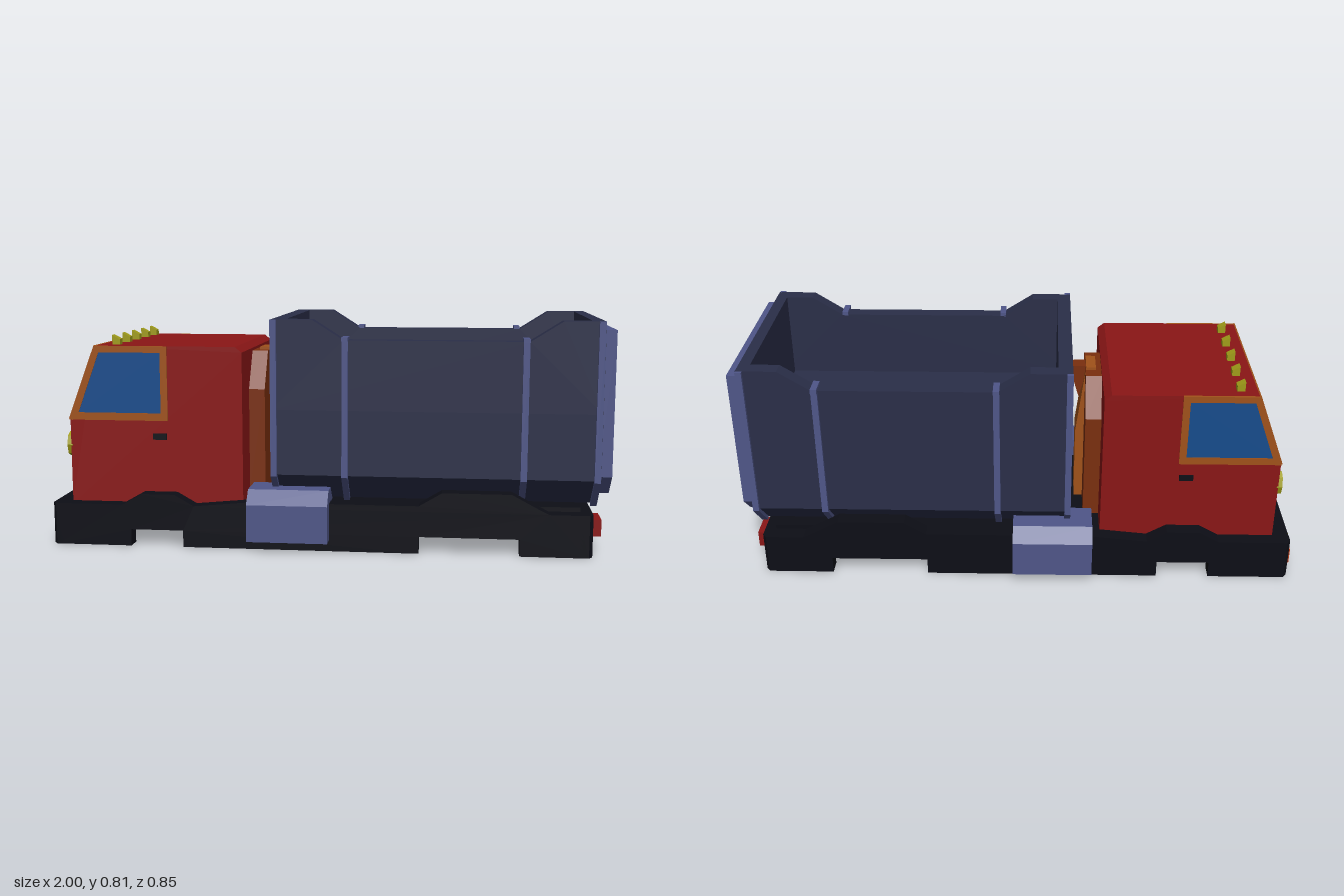
import * as THREE from 'three';

const mat = (color) => new THREE.MeshStandardMaterial({ color, flatShading: true });
const M = {
  red: mat(0x8a1616), blue: mat(0x4f5688), slate: mat(0x2a2e48), black: mat(0x0d0e16),
  orange: mat(0xa0521a), brown: mat(0x7a2f0e), glass: mat(0x164c8c), yellow: mat(0xa09c18),
  amber: mat(0xb03a18), grey: mat(0xcccccc),
};

const toShape = (pts) => new THREE.Shape(pts.map(([a, b]) => new THREE.Vector2(a, b)));

function extrude(pts, depth, hole) {
  const shape = toShape(pts);
  if (hole) shape.holes.push(toShape(hole));
  return new THREE.ExtrudeGeometry(shape, { depth, bevelEnabled: false });
}

// Side profile (x, y) swept from z0 to z1
const sweepZ = (pts, z0, z1, hole) => extrude(pts, z1 - z0, hole).translate(0, 0, z0);

// Cross-section (z, y) swept from x0 to x1
const flip = (pts) => pts && pts.map(([z, y]) => [-z, y]);
const sweepX = (pts, x0, x1, hole) =>
  extrude(flip(pts), x1 - x0, flip(hole)).rotateY(Math.PI / 2).translate(x0, 0, 0);

// Box given by its limits
const box = (x0, x1, y0, y1, z0, z1) =>
  new THREE.BoxGeometry(x1 - x0, y1 - y0, z1 - z0)
    .translate((x0 + x1) / 2, (y0 + y1) / 2, (z0 + z1) / 2);

// Half outline (z, y) completed by its mirror image
const mirrored = (half) => [...half, ...half.map(([z, y]) => [-z, y]).reverse()];

export function createModel() {
  const root = new THREE.Group();
  const group = (name) => {
    const g = new THREE.Group();
    g.name = name;
    root.add(g);
    return g;
  };
  const add = (parent, name, geometry, material) => {
    const m = new THREE.Mesh(geometry, material);
    m.name = name;
    parent.add(m);
  };

  // Chassis: hollow below, with wheel cutouts and fender humps on the sides
  const chassis = group('chassis');
  const skirt = [
    [-0.96, 0], [-0.69, 0], [-0.69, 0.06], [-0.5, 0.06], [-0.5, 0], [0.34, 0], [0.34, 0.06],
    [0.69, 0.06], [0.69, 0], [0.92, 0], [0.92, 0.15], [0.79, 0.15], [0.74, 0.175], [0.66, 0.218],
    [0.42, 0.218], [0.34, 0.17], [-0.25, 0.17], [-0.46, 0.15], [-0.53, 0.19], [-0.65, 0.19],
    [-0.72, 0.15], [-0.96, 0.15],
  ];
  add(chassis, 'leftSkirt', sweepZ(skirt, 0.31, 0.367), M.black);
  add(chassis, 'rightSkirt', sweepZ(skirt, -0.367, -0.31), M.black);
  add(chassis, 'deck', box(-0.95, 0.92, 0.08, 0.15, -0.32, 0.32), M.black);
  add(chassis, 'subframe', box(-0.2, 0.9, 0.14, 0.166, -0.31, 0.31), M.black);
  add(chassis, 'rearCrossbar', box(0.79, 0.81, 0.07, 0.085, -0.29, 0.29), M.slate);
  for (const [name, inner, outer] of [['frontBumper', -0.93, -0.98], ['rearBumper', 0.89, 0.94]]) {
    const bevel = outer - Math.sign(outer) * 0.013;
    const plan = [[inner, -0.367], [bevel, -0.367], [outer, -0.35],
      [outer, 0.35], [bevel, 0.367], [inner, 0.367]];
    add(chassis, name, extrude(plan, 0.15).rotateX(-Math.PI / 2), M.black);
  }
  add(chassis, 'numberPlate', box(-0.986, -0.975, 0.05, 0.11, -0.08, 0.08), M.grey);

  // Side tanks with a chamfered upper edge
  const tank = [[0.255, 0.04], [0.425, 0.04], [0.425, 0.172], [0.38, 0.22], [0.255, 0.22]];
  const tanks = group('sideTanks');
  add(tanks, 'leftTank', sweepX(tank, -0.26, 0.025), M.blue);
  add(tanks, 'rightTank', sweepX(flip(tank), -0.26, 0.025), M.blue);

  // Cab: full profile at the sides, wedge-shaped grille recess in the middle
  const cab = group('cab');
  const profile = [[-0.92, 0.14], [-0.29, 0.14], [-0.29, 0.695], [-0.315, 0.715],
    [-0.82, 0.715], [-0.92, 0.45]];
  const recess = [[-0.92, 0.41], [-0.85, 0.19], [-0.92, 0.19]];
  add(cab, 'cabCentre', sweepZ([...profile, ...recess], -0.25, 0.25), M.red);
  add(cab, 'cabLeftSide', sweepZ(profile, 0.25, 0.315), M.red);
  add(cab, 'cabRightSide', sweepZ(profile, -0.315, -0.25), M.red);
  add(cab, 'grille', sweepZ([[-0.92, 0.405], [-0.854, 0.191], [-0.845, 0.191], [-0.91, 0.405]],
    -0.249, 0.249), M.black);

  // Windscreen, leaning back along the front slope
  const lean = Math.atan2(0.1, 0.265);
  const length = Math.hypot(0.1, 0.265);
  const screen = new THREE.Group();
  screen.name = 'windscreen';
  screen.position.set(-0.92, 0.45, 0);
  screen.rotation.z = -lean;
  cab.add(screen);
  const pane = mirrored([[0.285, 0.03], [0.285, length - 0.03]]);
  add(screen, 'windscreenFrame',
    sweepX(mirrored([[0.319, 0], [0.319, length]]), -0.005, 0.01, pane), M.orange);
  add(screen, 'windscreenGlass', sweepX(pane, -0.002, 0.005), M.glass);

  // Side windows, door handles and lamps
  const frame = [[-0.922, 0.448], [-0.56, 0.448], [-0.56, 0.715], [-0.82, 0.715]];
  const sidePane = [[-0.888, 0.475], [-0.585, 0.475], [-0.585, 0.692], [-0.808, 0.692]];
  for (const s of [1, -1]) {
    const side = s > 0 ? 'left' : 'right';
    const slab = (pts, out, hole) =>
      sweepZ(pts, Math.min(s * 0.31, s * out), Math.max(s * 0.31, s * out), hole);
    add(cab, side + 'WindowFrame', slab(frame, 0.319, sidePane), M.orange);
    add(cab, side + 'WindowGlass', slab(sidePane, 0.317), M.glass);
    add(cab, side + 'DoorHandle',
      box(-0.615, -0.565, 0.38, 0.402, s * 0.315 - 0.006, s * 0.315 + 0.006), M.black);

    const lamp = new THREE.CylinderGeometry(0.036, 0.036, 0.02, 8).rotateZ(Math.PI / 2)
      .scale(1, 1.25, 1).translate(-0.925, 0.355, s * 0.28);
    add(cab, side + 'Headlight', lamp, M.yellow);
    const pod = (name, x0, x1, y0, y1, za, zb, m) => add(chassis, side + name,
      box(x0, x1, y0, y1, Math.min(s * za, s * zb), Math.max(s * za, s * zb)), m);
    pod('FogLight', -0.986, -0.97, 0.07, 0.135, 0.2, 0.28, M.yellow);
    pod('Indicator', -1, -0.97, 0.01, 0.068, 0.185, 0.29, M.amber);
    pod('TailLight', 0.93, 0.975, 0.06, 0.12, 0.187, 0.292, M.red);
  }

  // Roof marker lamps
  for (let i = 0; i < 5; i++) {
    const z = -0.26 + i * 0.125;
    add(cab, 'roofLamp', sweepZ([[-0.775, 0.71], [-0.747, 0.71], [-0.747, 0.735], [-0.775, 0.75]],
      z - 0.016, z + 0.016), M.yellow);
  }

  // Engine housing and intake behind the cab
  const intake = group('rearIntake');
  add(intake, 'housing',
    sweepX(mirrored([[0.18, 0.15], [0.18, 0.55], [0.1, 0.685]]), -0.295, -0.232), M.brown);
  add(intake, 'spine', sweepZ([[-0.27, 0.15], [-0.2, 0.15], [-0.2, 0.43], [-0.235, 0.695],
    [-0.27, 0.695]], -0.05, 0.05), M.orange);
  add(intake, 'snorkel', sweepZ([[-0.24, 0.68], [-0.21, 0.565], [-0.182, 0.66], [-0.182, 0.688],
    [-0.24, 0.69]], -0.028, 0.028), M.brown);

  // Dump bed: solid lower tub, notched side walls and tall end walls
  const bed = group('dumpBed');
  const floorY = 0.5;
  add(bed, 'tub', sweepX(mirrored([[0.265, 0.175], [0.36, 0.27], [0.36, floorY]]), -0.18, 0.96), M.slate);
  const wall = [[-0.18, floorY], [0.96, floorY], [0.96, 0.815], [0.82, 0.815], [0.71, 0.745],
    [0.075, 0.745], [-0.035, 0.815], [-0.18, 0.815]];
  add(bed, 'leftWall', sweepZ(wall, 0.305, 0.36), M.slate);
  add(bed, 'rightWall', sweepZ(wall, -0.36, -0.305), M.slate);
  add(bed, 'frontWall', box(-0.18, -0.13, floorY, 0.815, -0.31, 0.31), M.slate);
  add(bed, 'rearWall', box(0.92, 0.96, floorY, 0.815, -0.31, 0.31), M.slate);

  // Ribs down each side of the bed, the middle ones capped over the wall
  for (const s of [1, -1]) {
    for (const [x, top] of [[-0.17, 0.815], [0.08, 0.75], [0.698, 0.75], [0.947, 0.815]]) {
      const rib = [[0.372, top], [0.372, 0.265], [0.275, 0.166], [0.262, 0.18], [0.355, 0.275], [0.355, top]];
      add(bed, 'rib', sweepX(s > 0 ? rib : flip(rib), x - 0.011, x + 0.011), M.blue);
      if (top < 0.8) add(bed, 'ribCap',
        box(x - 0.011, x + 0.011, 0.742, 0.756, s * 0.341 - 0.036, s * 0.341 + 0.036), M.blue);
    }
  }
  add(bed, 'tailgate', sweepX(mirrored([[0.26, 0.21], [0.332, 0.28], [0.332, 0.785]]), 0.95, 1), M.blue);

  return root;
}
